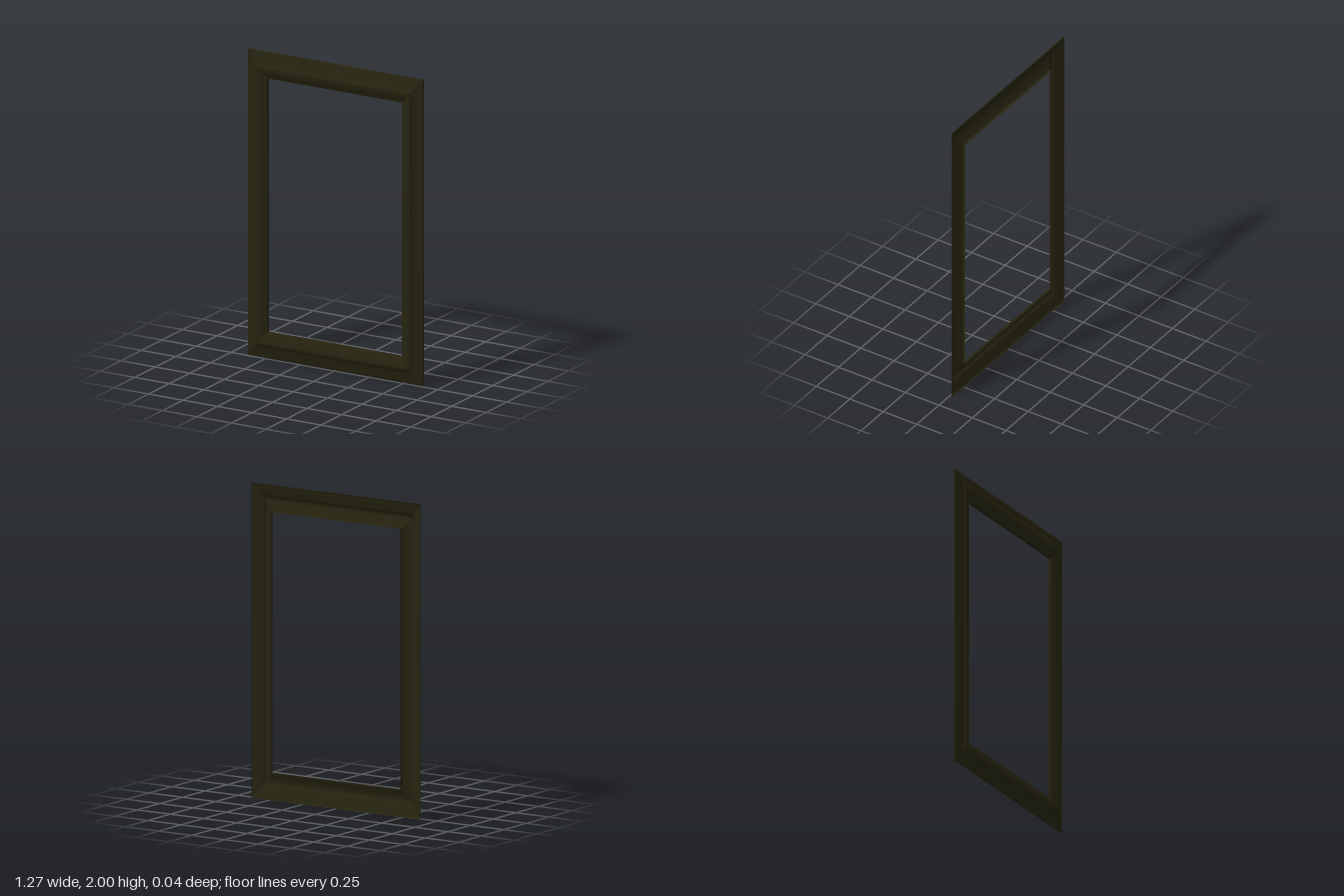
import * as THREE from 'three';
import { toCreasedNormals } from 'three/addons/utils/BufferGeometryUtils.js';

// Outer half sizes of the frame and the widths of its side and end rails
const HALF_W = 0.635, HALF_H = 1, SIDE = 0.148, END = 0.172;

// Moulding section: [share of rail width from the outer edge, z]
const PROFILE = [
  [0, -0.022], [0.005, -0.016], [0.03, -0.013], [0.12, -0.011], [0.22, -0.006],
  [0.32, 0.0], [0.42, 0.006], [0.48, 0.01], [0.5, 0.016], [0.53, 0.02],
  [0.58, 0.022], [0.66, 0.021], [0.76, 0.015], [0.86, 0.007], [0.94, 0.0],
  [0.985, -0.003], [0.995, -0.008], [1, -0.022],
];

// Corner signs, counter-clockwise from the front
const CORNERS = [[-1, -1], [1, -1], [1, 1], [-1, 1]];

function cornerPoint([sx, sy], [t, z]) {
  return [sx * (HALF_W - t * SIDE), HALF_H + sy * (HALF_H - t * END), z];
}

// One mitred rail between two corners, an open moulded shell
function railGeometry(a, b) {
  const positions = [], index = [];
  PROFILE.forEach((p, i) => {
    positions.push(...cornerPoint(a, p), ...cornerPoint(b, p));
    if (i === 0) return;
    const k = 2 * i;
    index.push(k - 2, k - 1, k + 1, k - 2, k + 1, k);
  });
  const geometry = new THREE.BufferGeometry();
  geometry.setAttribute('position', new THREE.Float32BufferAttribute(positions, 3));
  geometry.setIndex(index);
  return toCreasedNormals(geometry, 0.7);
}

export function createModel() {
  const group = new THREE.Group();
  group.name = 'pictureFrame';
  const darkWood = new THREE.MeshStandardMaterial({ color: 0x25230f, side: THREE.DoubleSide });
  darkWood.name = 'darkOliveWood';

  // Four rails meeting in mitred corners
  ['bottomRail', 'leftRail', 'topRail', 'rightRail'].forEach((name, i) => {
    const rail = new THREE.Mesh(railGeometry(CORNERS[i], CORNERS[(i + 1) % 4]), darkWood);
    rail.name = name;
    group.add(rail);
  });
  return group;
}
